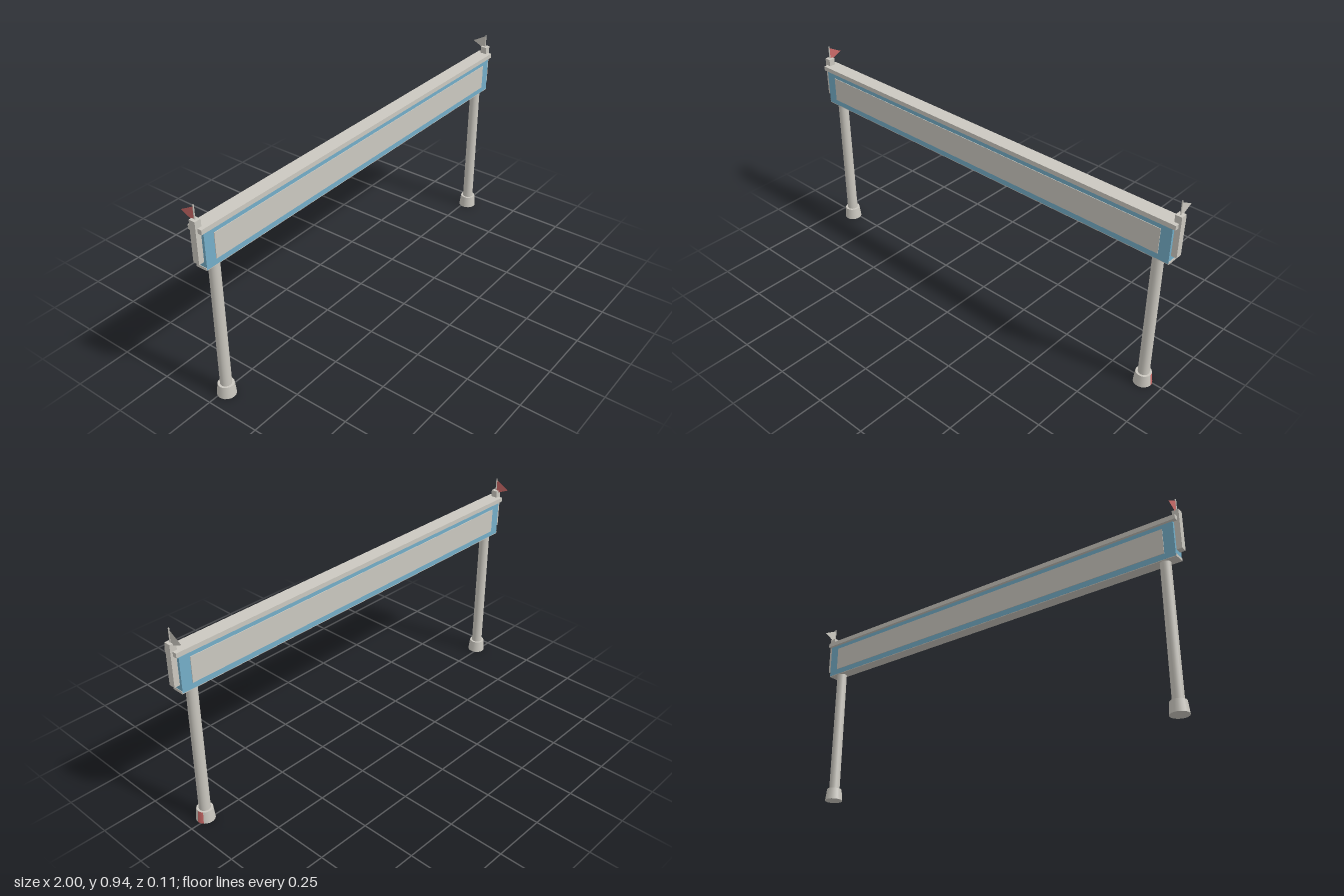
import * as THREE from 'three';

const mat = (name, color) => {
  const m = new THREE.MeshStandardMaterial({ color });
  m.name = name;
  return m;
};

export function createModel() {
  const group = new THREE.Group();
  const grey = mat('warm grey', 0xcbc8c0);
  const blue = mat('sky blue', 0x74aec8);
  const red = mat('red', 0xcb6a68);
  const redFlag = mat('red flag cloth', 0xcb6a68);
  redFlag.side = THREE.DoubleSide;
  const greyFlag = mat('grey flag cloth', 0xcbc8c0);
  greyFlag.side = THREE.DoubleSide;
  const Z = 0.015; // centre plane of the whole gantry

  const add = (name, geometry, material, x, y, z) => {
    const mesh = new THREE.Mesh(geometry, material);
    mesh.name = name;
    mesh.position.set(x, y, z);
    group.add(mesh);
    return mesh;
  };
  // Box given by its limits on each axis
  const box = (name, material, x0, x1, y0, y1, z0, z1) =>
    add(name, new THREE.BoxGeometry(x1 - x0, y1 - y0, z1 - z0), material,
      (x0 + x1) / 2, (y0 + y1) / 2, (z0 + z1) / 2);

  // Beam: blue core, grey tray below, grey cap above
  box('beam', blue, -0.975, 0.975, 0.662, 0.823, -0.012, 0.042);
  box('beamTray', grey, -0.977, 0.977, 0.659, 0.671, -0.0115, 0.0415);
  box('beamCap', grey, -0.99, 0.99, 0.827, 0.848, -0.02, 0.049);
  box('capSpacer', grey, -0.96, 0.96, 0.82, 0.83, 0, 0.03);

  // Sign panels on both faces
  box('frontPanel', grey, -0.926, 0.926, 0.688, 0.803, 0.04, 0.0445);
  box('backPanel', grey, -0.926, 0.926, 0.688, 0.803, -0.0148, -0.01);

  for (const s of [-1, 1]) {
    // Leg
    add('leg', new THREE.CylinderGeometry(0.0235, 0.025, 0.61, 18), grey, s * 0.915, 0.355, Z);

    // Foot, with a red marker sector on the left one
    const foot = (name, material, start, length, sides) =>
      add(name, new THREE.CylinderGeometry(0.035, 0.041, 0.055, sides, 1, false, start, length),
        material, s * 0.915, 0.0275, Z);
    const a = Math.PI / 9;
    if (s > 0) {
      foot('footMarker', red, Math.PI / 2, 2 * a, 2).material = [red, grey, grey];
      foot('foot', grey, Math.PI / 2 + 2 * a, 16 * a, 16);
    } else {
      foot('foot', grey, 0, Math.PI * 2, 18);
    }

    // End post and flagpole
    box('endPost', grey, s * 0.985 - 0.015, s * 0.985 + 0.015, 0.694, 0.88, 0, 0.03);
    add('flagPole', new THREE.CylinderGeometry(0.003, 0.003, 0.06, 8), grey, s * 0.985, 0.91, Z);

    // Pennant flying to the back
    const pennant = new THREE.Shape([
      new THREE.Vector2(0, 0.933),
      new THREE.Vector2(0, 0.865),
      new THREE.Vector2(0.067, 0.896),
    ]);
    const flag = add('flag', new THREE.ShapeGeometry(pennant), s > 0 ? greyFlag : redFlag,
      s * 0.985, 0, Z - 0.001);
    flag.rotation.y = Math.PI / 2;
  }
  return group;
}
